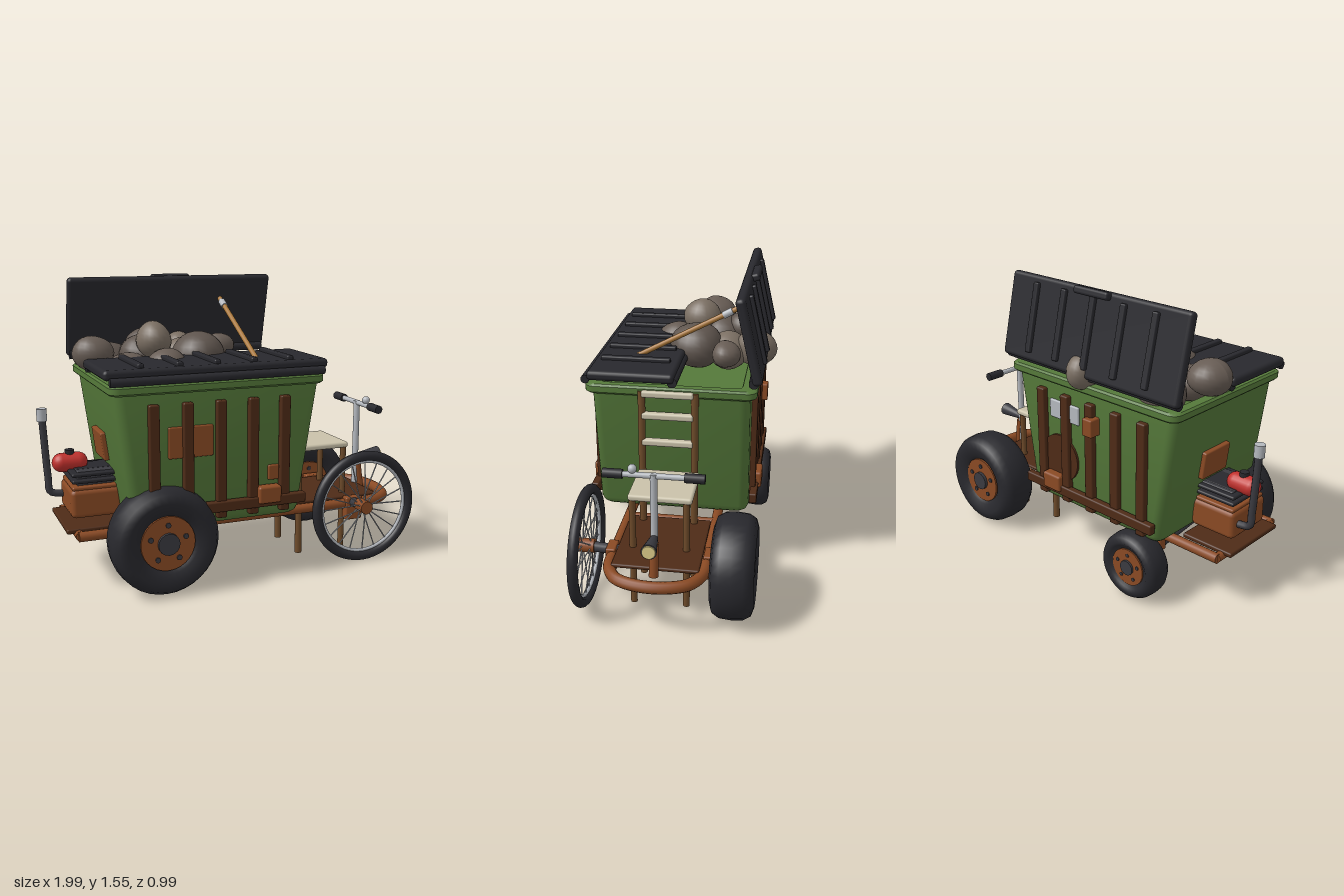
import * as THREE from 'three';
import { toCreasedNormals } from 'three/addons/utils/BufferGeometryUtils.js';
import { RoundedBoxGeometry } from 'three/addons/geometries/RoundedBoxGeometry.js';

const GREEN = 0x55793a, BLACK = 0x28282d, RUST = 0x8a4a24, BROWN = 0x4e2b17, CREAM = 0xcac2aa,
  SILVER = 0xb4b8be, RED = 0xc0302c, WOOD = 0x6e4b2a, POLE = 0xa87638, DARK = 0x3a3a40;
const V = (x, y, z) => new THREE.Vector3(x, y, z);
const mats = {};
const mat = c => (mats[c] ??= new THREE.MeshStandardMaterial({ color: c }));

function add(parent, name, geo, color, x = 0, y = 0, z = 0) {
  const m = new THREE.Mesh(geo, mat(color));
  m.name = name;
  m.position.set(x, y, z);
  parent.add(m);
  return m;
}
// rounded box from its limits
function box(parent, name, color, x0, x1, y0, y1, z0, z1, r = 0.008) {
  const w = x1 - x0, h = y1 - y0, d = z1 - z0;
  return add(parent, name, new RoundedBoxGeometry(w, h, d, 2, Math.min(r, w / 2.1, h / 2.1, d / 2.1)),
    color, (x0 + x1) / 2, (y0 + y1) / 2, (z0 + z1) / 2);
}
// straight rod between two points
function rod(parent, name, color, a, b, r, r2 = r, sides = 16) {
  const d = b.clone().sub(a);
  const m = add(parent, name, new THREE.CylinderGeometry(r2, r, d.length(), sides), color);
  m.position.copy(a).add(b).multiplyScalar(0.5);
  m.quaternion.setFromUnitVectors(V(0, 1, 0), d.normalize());
  return m;
}
// skin over rounded rectangles [y, x0, x1, halfDepth, cornerRadius]
function loft(rings, corner = 5) {
  const pos = [], idx = [], n = 4 * (corner + 1);
  for (const [y, x0, x1, hz, r] of rings)
    for (let q = 0; q < 4; q++)
      for (let k = 0; k <= corner; k++) {
        const t = (q + k / corner) * Math.PI / 2;
        const cx = q === 0 || q === 3 ? x1 - r : x0 + r, cz = q < 2 ? hz - r : r - hz;
        pos.push(cx + r * Math.cos(t), y, cz + r * Math.sin(t));
      }
  for (let i = 0; i < rings.length - 1; i++)
    for (let j = 0; j < n; j++) {
      const a = i * n + j, b = i * n + (j + 1) % n;
      idx.push(a, a + n, b, b, a + n, b + n);
    }
  const g = new THREE.BufferGeometry();
  g.setAttribute('position', new THREE.Float32BufferAttribute(pos, 3));
  g.setIndex(idx);
  return toCreasedNormals(g, 0.7);
}
// fat tyre with bolted disc; axle along z
function fatWheel(parent, name, x, z, R, w, hubR) {
  const g = new THREE.Group();
  g.name = name;
  g.position.set(x, R, z);
  const h = w / 2;
  const profile = [[hubR, -h * 0.7], [hubR + 0.02, -h * 0.85], [R * 0.75, -h], [R * 0.9, -h * 0.88], [R * 0.98, -h * 0.55],
    [R, 0], [R * 0.98, h * 0.55], [R * 0.9, h * 0.88], [R * 0.75, h], [hubR + 0.02, h * 0.85], [hubR, h * 0.7]];
  const tyre = new THREE.LatheGeometry(profile.map(p => new THREE.Vector2(...p)), 36);
  add(g, 'tyre', tyre.rotateX(Math.PI / 2), BLACK);
  rod(g, 'wheelDisc', RUST, V(0, 0, -h * 0.8), V(0, 0, h * 0.8), hubR, hubR, 28);
  rod(g, 'hubCap', DARK, V(0, 0, -h * 0.95), V(0, 0, h * 0.95), hubR * 0.4);
  for (let i = 0; i < 5; i++) {
    const t = Math.PI / 2 + i * Math.PI * 0.4, bx = Math.cos(t) * hubR * 0.68, by = Math.sin(t) * hubR * 0.68;
    rod(g, 'wheelBolt', DARK, V(bx, by, -h * 0.86), V(bx, by, h * 0.86), hubR * 0.1, hubR * 0.1, 8);
  }
  parent.add(g);
}
// ribbed lid, hinged at its local origin
function lid(parent, name, y, z, angle, open) {
  const g = new THREE.Group();
  g.name = name;
  box(g, 'lidPanel', BLACK, -0.765, 0.415, -0.025, 0.025, 0, 0.44, 0.02);
  for (let i = 0; i < 5; i++) box(g, 'lidRib', BLACK, -0.59 + i * 0.197, -0.555 + i * 0.197, 0.015, 0.045, 0.045, 0.405);
  if (open) box(g, 'lidHandle', BLACK, -0.285, -0.06, 0.015, 0.06, 0.4, 0.44, 0.014);
  else rod(g, 'lidEdgeBar', BLACK, V(-0.74, -0.03, 0.455), V(0.38, -0.03, 0.455), 0.022);
  rod(g, 'lidHinge', BLACK, V(-0.75, -0.02, 0.01), V(0.4, -0.02, 0.01), 0.025);
  g.position.set(0, y, z);
  g.rotation.x = angle;
  parent.add(g);
}

export function createModel() {
  const root = new THREE.Group();
  root.name = 'binTricycle';

  // tapered bin with rim
  add(root, 'binBody', loft([[0.33, -0.18, -0.17, 0.005, 0.002], [0.33, -0.6, 0.25, 0.37, 0.04], [0.345, -0.615, 0.268, 0.39, 0.05],
    [0.37, -0.625, 0.275, 0.4, 0.05], [1.03, -0.715, 0.38, 0.4, 0.05], [1.03, -0.67, 0.335, 0.35, 0.03],
    [0.99, -0.66, 0.33, 0.35, 0.03], [0.99, -0.18, -0.17, 0.005, 0.002]]), GREEN);
  add(root, 'binRim', loft([[1.02, -0.68, 0.345, 0.36, 0.03], [1.02, -0.73, 0.385, 0.425, 0.05], [1.03, -0.74, 0.395, 0.435, 0.05],
    [1.06, -0.74, 0.395, 0.435, 0.05], [1.07, -0.73, 0.385, 0.425, 0.05], [1.07, -0.68, 0.345, 0.36, 0.03],
    [0.99, -0.68, 0.345, 0.36, 0.03]]), GREEN);
  lid(root, 'closedLid', 1.12, -0.025, 0, false);
  lid(root, 'openLid', 1.11, -0.44, -1.34, true);

  // straps and rails on both sides
  for (const s of [1, -1]) {
    for (let i = 0; i < 5; i++)
      box(root, 'sideStrap', BROWN, -0.552 + i * 0.174, -0.498 + i * 0.174, 0.365, 0.97, s * 0.414 - 0.018, s * 0.414 + 0.018);
    box(root, 'sideRail', BROWN, -0.61, 0.285, 0.4, 0.455, s * 0.425 - 0.02, s * 0.425 + 0.02);
    box(root, 'railBox', RUST, 0.015, 0.14, 0.42, 0.51, s * 0.43 - 0.03, s * 0.43 + 0.03, 0.012);
  }
  // patches
  box(root, 'sidePatch', RUST, -0.45, -0.215, 0.69, 0.85, 0.39, 0.41);
  box(root, 'smallPatch', RUST, 0.085, 0.145, 0.53, 0.61, 0.39, 0.412);
  box(root, 'greyPlate', SILVER, -0.09, 0.12, 0.82, 0.92, -0.412, -0.39);
  box(root, 'raisedPatch', RUST, -0.23, -0.165, 0.81, 0.905, -0.462, -0.39);
  rod(root, 'roundPatch', BROWN, V(0.05, 0.6, -0.39), V(0.05, 0.6, -0.412), 0.13, 0.13, 28);
  box(root, 'rearPatch', RUST, -0.695, -0.66, 0.62, 0.77, -0.14, 0.06).rotation.z = 0.13;

  // heap of stones: x, y, z, radii
  const stones = [[-0.69, 1.16, -0.12, 0.11, 0.09, 0.11], [-0.38, 1.12, -0.2, 0.14, 0.12, 0.15], [-0.37, 1.22, -0.07, 0.09, 0.095, 0.11],
    [-0.34, 1.09, 0.07, 0.11, 0.1, 0.11], [-0.12, 1.13, -0.07, 0.15, 0.125, 0.14], [-0.13, 1.13, -0.39, 0.08, 0.1, 0.11],
    [0.065, 1.15, -0.25, 0.09, 0.07, 0.075], [-0.55, 1.09, -0.3, 0.12, 0.1, 0.11], [-0.15, 1.1, -0.24, 0.12, 0.1, 0.12],
    [-0.51, 1.07, -0.05, 0.12, 0.09, 0.12], [-0.36, 1.18, -0.3, 0.1, 0.08, 0.08]];
  stones.forEach(([x, y, z, rx, ry, rz], i) => {
    const g = new THREE.SphereGeometry(1, 20, 14), p = g.attributes.position;
    for (let k = 0; k < p.count; k++) {
      const v = V(0, 0, 0).fromBufferAttribute(p, k);
      v.multiplyScalar(1 + 0.04 * Math.sin(3 * v.x + i) * Math.cos(2.5 * v.y + 2 * i) + 0.03 * Math.sin(4 * v.z + i));
      p.setXYZ(k, v.x, v.y, v.z);
    }
    g.computeVertexNormals();
    add(root, 'stone', g, [0x675c54, 0x5e544d, 0x7a6e62][i % 3], x, y, z).scale.set(rx, ry, rz);
  });
  rod(root, 'toolHandle', POLE, V(0.1, 1.07, 0.33), V(0.1, 1.41, -0.31), 0.014);
  rod(root, 'toolFerrule', SILVER, V(0.1, 1.37, -0.235), V(0.1, 1.395, -0.282), 0.019);

  // tube chassis, rounded nose
  const nose = [V(0.7, 0.29, 0.235), V(0.82, 0.29, 0.23), V(0.92, 0.29, 0.17), V(0.965, 0.29, 0),
    V(0.92, 0.29, -0.17), V(0.82, 0.29, -0.23), V(0.7, 0.29, -0.235)];
  add(root, 'chassisNose', new THREE.TubeGeometry(new THREE.CatmullRomCurve3(nose), 40, 0.03, 12), RUST);
  for (const s of [1, -1]) {
    rod(root, 'chassisRail', RUST, V(-0.87, 0.29, s * 0.235), V(0.72, 0.29, s * 0.235), 0.026);
    box(root, 'axleBracket', RUST, 0.63, 0.73, 0.2, 0.33, s * 0.245 - 0.025, s * 0.245 + 0.025);
    box(root, 'rearBracket', RUST, -0.53, -0.42, 0.2, 0.33, s * 0.245 - 0.025, s * 0.245 + 0.025);
  }
  for (const x of [-0.86, -0.48, -0.1, 0.32, 0.67]) rod(root, 'crossTube', RUST, V(x, 0.29, -0.235), V(x, 0.29, 0.235), 0.024);
  box(root, 'frontDeck', BROWN, 0.36, 0.85, 0.305, 0.325, -0.215, 0.215);
  box(root, 'rearDeck', BROWN, -0.92, -0.62, 0.295, 0.32, -0.2, 0.2);

  // mismatched wheels and axles
  fatWheel(root, 'rearLargeWheel', -0.475, 0.377, 0.28, 0.22, 0.14);
  fatWheel(root, 'frontFatWheel', 0.68, -0.372, 0.265, 0.215, 0.13);
  fatWheel(root, 'rearSmallWheel', -0.48, -0.405, 0.18, 0.15, 0.1);
  rod(root, 'rearAxle', DARK, V(-0.475, 0.28, 0.38), V(-0.48, 0.18, -0.4), 0.024);
  rod(root, 'frontAxle', DARK, V(0.675, 0.31, 0.4), V(0.68, 0.265, -0.37), 0.026);

  // spoked wheel
  const spoked = new THREE.Group();
  spoked.name = 'spokedWheel';
  spoked.position.set(0.675, 0.31, 0.375);
  add(spoked, 'thinTyre', new THREE.TorusGeometry(0.283, 0.027, 12, 56), BLACK);
  add(spoked, 'wheelRim', new THREE.TorusGeometry(0.253, 0.01, 8, 56), SILVER);
  rod(spoked, 'spokedHub', RUST, V(0, 0, -0.04), V(0, 0, 0.04), 0.036);
  for (let i = 0; i < 20; i++) {
    const t = i * Math.PI / 10;
    rod(spoked, 'spoke', SILVER, V(0, 0, i % 2 ? 0.025 : -0.025), V(Math.cos(t) * 0.255, Math.sin(t) * 0.255, 0), 0.0035, 0.0035, 6);
  }
  root.add(spoked);

  // ladder and seat
  for (const z of [0.14, -0.13]) {
    rod(root, 'ladderRail', WOOD, V(0.4, 0, z), V(0.39, 1.05, z), 0.019);
    rod(root, 'seatLeg', WOOD, V(0.672, 0, z), V(0.672, 0.6, z), 0.017);
  }
  for (const y of [1.037, 0.92, 0.775]) box(root, 'ladderRung', CREAM, 0.375, 0.415, y - 0.018, y + 0.018, -0.125, 0.14, 0.012);
  box(root, 'seat', CREAM, 0.395, 0.695, 0.588, 0.622, -0.16, 0.16, 0.014);

  // steering and lamp
  rod(root, 'steeringSocket', RUST, V(0.87, 0.29, 0), V(0.845, 0.46, 0), 0.024);
  rod(root, 'steeringColumn', SILVER, V(0.835, 0.33, 0), V(0.835, 0.82, 0), 0.018);
  rod(root, 'handlebar', SILVER, V(0.835, 0.81, -0.2), V(0.835, 0.81, 0.2), 0.014);
  for (const s of [1, -1]) rod(root, 'handGrip', BLACK, V(0.835, 0.81, s * 0.145), V(0.835, 0.81, s * 0.24), 0.023);
  add(root, 'bell', new THREE.SphereGeometry(0.022, 16, 12), SILVER, 0.835, 0.84, 0.1);
  rod(root, 'lampHousing', DARK, V(0.84, 0.485, 0), V(0.985, 0.495, 0), 0.018, 0.038, 20);
  rod(root, 'lampGlass', 0xd8c987, V(0.975, 0.494, 0), V(0.992, 0.495, 0), 0.034, 0.032, 20);

  // rear engine with fins, tank and exhaust
  box(root, 'engineBlock', RUST, -0.88, -0.62, 0.35, 0.5, -0.14, 0.14, 0.025);
  box(root, 'engineHead', DARK, -0.84, -0.65, 0.48, 0.59, -0.1, 0.1);
  for (let i = 0; i < 3; i++) box(root, 'coolingFin', i ? BLACK : RUST, -0.87, -0.64, 0.495 + i * 0.035, 0.515 + i * 0.035, -0.13, 0.13);
  box(root, 'tankShelf', BLACK, -0.84, -0.65, 0.578, 0.592, -0.08, 0.06);
  add(root, 'fuelTank', new THREE.CapsuleGeometry(0.05, 0.085, 8, 20).rotateZ(Math.PI / 2), RED, -0.85, 0.613, -0.02);
  rod(root, 'tankCap', BLACK, V(-0.85, 0.65, -0.02), V(-0.85, 0.68, -0.02), 0.024);
  const pipe = [V(-0.8, 0.43, -0.09), V(-0.9, 0.43, -0.09), V(-0.945, 0.445, -0.09), V(-0.953, 0.52, -0.09), V(-0.972, 0.84, -0.09)];
  add(root, 'exhaustPipe', new THREE.TubeGeometry(new THREE.CatmullRomCurve3(pipe), 32, 0.019, 12), DARK);
  rod(root, 'exhaustTip', SILVER, V(-0.972, 0.825, -0.09), V(-0.973, 0.89, -0.09), 0.027);

  return root;
}
